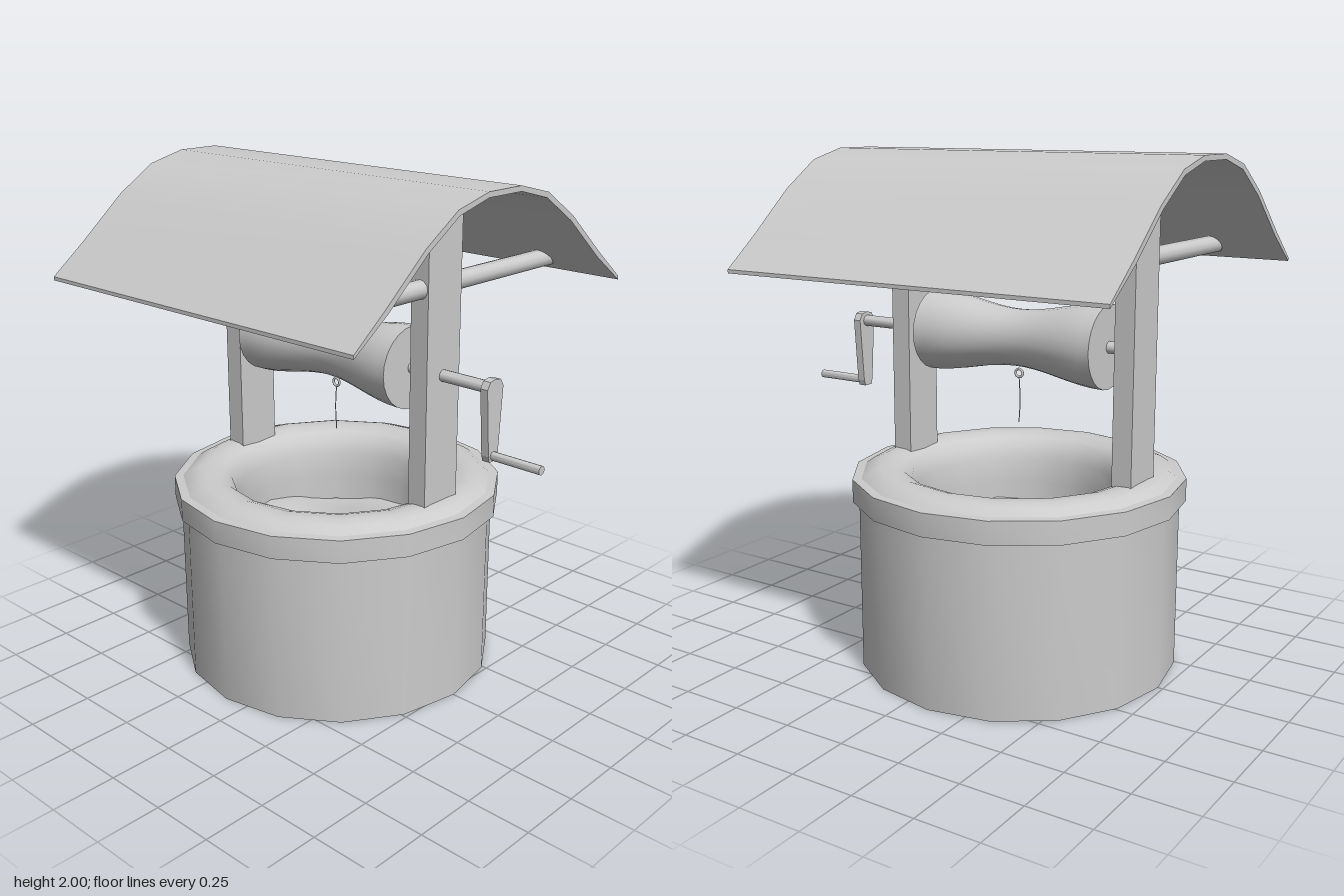
import * as THREE from 'three';
import { toCreasedNormals } from 'three/addons/utils/BufferGeometryUtils.js';

const CZ = -0.1; // z of the well's axis
const AXLE_Y = 1.295;
const material = new THREE.MeshStandardMaterial({ color: 0xcccccc });
const openMaterial = new THREE.MeshStandardMaterial({ color: 0xcccccc, side: THREE.DoubleSide });
const v2 = (pts) => pts.map(([x, y]) => new THREE.Vector2(x, y));

export function createModel() {
  const model = new THREE.Group();
  model.name = 'well';

  const add = (name, geometry, x, y, z, mat = material) => {
    const mesh = new THREE.Mesh(geometry, mat);
    mesh.name = name;
    mesh.position.set(x, y, z);
    model.add(mesh);
    return mesh;
  };
  const lathe = (pts, sides) => toCreasedNormals(new THREE.LatheGeometry(v2(pts), sides), 0.55);
  // rod along z between two depths
  const rod = (name, r, y, z0, z1) => {
    const g = toCreasedNormals(new THREE.CylinderGeometry(r, r, z1 - z0, 12).rotateX(Math.PI / 2), 0.8);
    return add(name, g, 0, y, (z0 + z1) / 2);
  };

  // Round wall, open underneath
  add('wall', lathe([[0.63, 0], [0.63, 0.72]], 16), 0, 0, CZ, openMaterial);

  // Coping ring, rounded over into the shaft
  add('rim', lathe([
    [0.62, 0.675], [0.655, 0.675], [0.655, 0.765], [0.62, 0.767], [0.585, 0.791], [0.55, 0.802],
    [0.5, 0.8], [0.455, 0.785], [0.425, 0.755], [0.405, 0.7], [0.4, 0.6], [0.4, 0.49],
  ], 16), 0, 0, CZ, openMaterial);

  // Rippled water surface
  const water = new THREE.RingGeometry(0.001, 0.41, 24, 8).rotateX(-Math.PI / 2);
  const wp = water.attributes.position;
  for (let i = 0; i < wp.count; i++) {
    const x = wp.getX(i), z = wp.getZ(i);
    wp.setY(i, 0.025 * Math.sin(9 * x + 4 * z) * Math.cos(8 * z - 3 * x));
  }
  water.computeVertexNormals();
  add('water', water, 0, 0.51, CZ, openMaterial);

  // Posts and crossbeams, beam ends cut to the slope of the roof
  for (const [side, z] of [['front', 0.4], ['back', -0.6]]) {
    add(side + 'Post', new THREE.BoxGeometry(0.185, 1.21, 0.08), 0, 1.375, z);
    const beam = new THREE.CylinderGeometry(0.036, 0.036, 1.32, 12).rotateZ(Math.PI / 2);
    const bp = beam.attributes.position;
    for (let i = 0; i < bp.count; i++) {
      bp.setX(i, bp.getX(i) - Math.sign(bp.getX(i)) * bp.getY(i) * 1.2);
    }
    add(side + 'Crossbeam', toCreasedNormals(beam, 0.8), 0, 1.625, z);
  }

  // Curved roof sheet
  const half = [[0.09, 2], [0.25, 1.96], [0.41, 1.857], [0.6, 1.695], [0.745, 1.58]];
  const inner = [[0.09, 1.98], [0.243, 1.94], [0.398, 1.84], [0.587, 1.679], [0.745, 1.566]];
  const mirror = (pts) => pts.map(([x, y]) => [-x, y]);
  const outline = [...mirror(half).reverse(), ...half, ...inner.reverse(), ...mirror(inner).reverse()];
  const roof = new THREE.ExtrudeGeometry(new THREE.Shape(v2(outline)), { depth: 1.575, bevelEnabled: false });
  add('roof', toCreasedNormals(roof, 0.6), 0, 0, -0.885);

  // Waisted winding drum on its axle
  const drum = [[0, -0.39]];
  for (let i = 0; i <= 16; i++) {
    const t = i / 8 - 1;
    drum.push([0.135 - 0.025 * Math.cos(Math.PI * t), 0.39 * t]);
  }
  drum.push([0, 0.39]);
  add('drum', lathe(drum, 24).rotateX(Math.PI / 2), 0, AXLE_Y, CZ);
  rod('axle', 0.023, AXLE_Y, -0.6, 0.66);

  // Crank: tapered arm and handle
  const arm = new THREE.Shape(v2([
    [-0.02, 1.022], [0.02, 1.022], [0.027, 1.045], [0.046, 1.3], [0.03, 1.326], [0, 1.332],
    [-0.03, 1.326], [-0.046, 1.3], [-0.027, 1.045],
  ]));
  add('crankArm', new THREE.ExtrudeGeometry(arm, { depth: 0.032, bevelEnabled: false }), 0, 0, 0.646);
  rod('crankHandle', 0.017, 1.043, 0.65, 0.89);

  // Loop under the drum with a thin hanging cord
  add('ropeLoop', new THREE.TorusGeometry(0.016, 0.005, 8, 16).rotateY(Math.PI / 2), 0, 1.155, CZ);
  const cord = new THREE.CatmullRomCurve3([
    new THREE.Vector3(0, 1.138, CZ), new THREE.Vector3(0, 1.05, CZ - 0.005), new THREE.Vector3(0, 0.96, CZ),
  ]);
  add('cord', new THREE.TubeGeometry(cord, 10, 0.002, 5), 0, 0, 0);

  return model;
}
